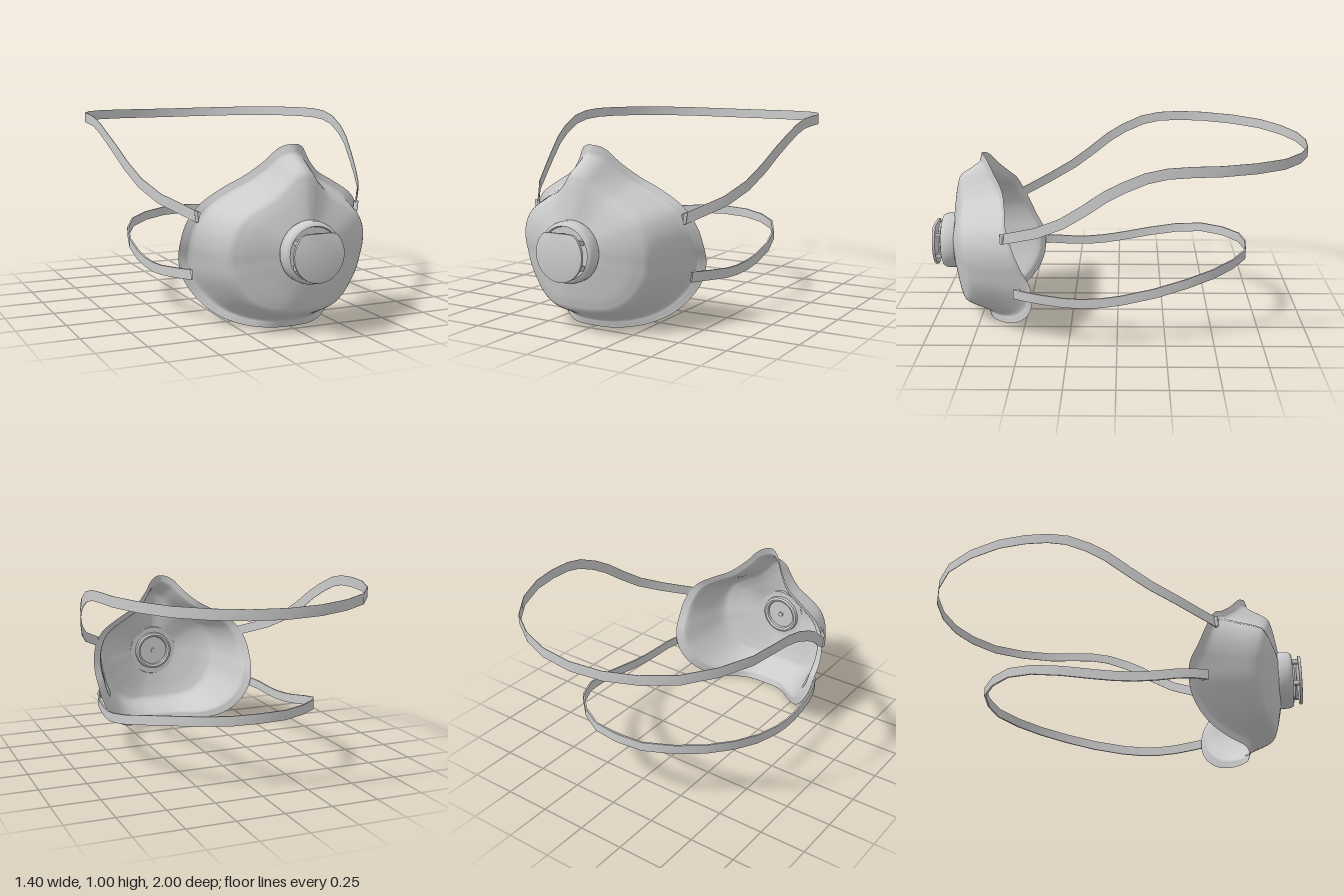
import * as THREE from 'three';
import { toCreasedNormals } from 'three/addons/utils/BufferGeometryUtils.js';
import { RoundedBoxGeometry } from 'three/addons/geometries/RoundedBoxGeometry.js';

const V = (x, y, z) => new THREE.Vector3(x, y, z);
const grey = new THREE.MeshStandardMaterial({ color: 0xcccccc, side: THREE.DoubleSide });

function part(name, geometry) {
  const mesh = new THREE.Mesh(geometry, grey);
  mesh.name = name;
  return mesh;
}

// Skins rows of points; each row closes on itself
function loft(rows) {
  const n = rows[0].length, index = [];
  for (let j = 0; j < rows.length - 1; j++)
    for (let i = 0; i < n; i++) {
      const k = (i + 1) % n, a = j * n + i, b = j * n + k, c = a + n, d = b + n;
      index.push(a, c, b, b, c, d);
    }
  const g = new THREE.BufferGeometry().setFromPoints(rows.flat());
  g.setIndex(index);
  g.computeVertexNormals();
  return g;
}

// Mirrors a half path that ends on x = 0 (and may also start there)
function mirrored(half, closed) {
  const other = half.slice(closed ? 1 : 0, -1).reverse().map(p => V(-p.x, p.y, p.z));
  return [...half, ...other];
}

// Face piece: the rim curve is drawn in towards the valve while rising to the front
function maskShell() {
  const rimHalf = [
    [0, .905, .73], [.06, .888, .70], [.12, .82, .655], [.20, .75, .605], [.31, .69, .58],
    [.42, .615, .565], [.475, .52, .53], [.49, .42, .49], [.482, .33, .445], [.46, .24, .435],
    [.41, .15, .455], [.33, .065, .52], [.23, .02, .61], [.12, .008, .69], [0, .005, .705],
  ].map(p => V(...p));
  const rim = new THREE.CatmullRomCurve3(mirrored(rimHalf, true), true);
  const outline = rim.getPoints(112).slice(0, -1);
  // x: share of the way to the centre, y: share of the rise
  const rise = new THREE.SplineCurve([[0, 0], [.05, .035], [.1, .09], [.16, .32], [.25, .68], [.35, .79],
    [.5, .87], [.7, .95], [.82, .98]].map(p => new THREE.Vector2(...p)));
  const rows = rise.getPoints(40).map(({ x: s, y: g }) =>
    outline.map(p => V(p.x * (1 - s), p.y + (.415 - p.y) * s, p.z + (.9 - p.z) * g)));
  return part('maskShell', loft(rows));
}

// Flat elastic band: an upright thin rectangle swept along the path
function strap(name, half, width, thickness) {
  const path = mirrored(half.map(p => V(...p)), false);
  const rows = path.map((p, i) => {
    const t = path[Math.min(i + 1, path.length - 1)].clone().sub(path[Math.max(i - 1, 0)]).normalize();
    const out = V(-t.z, 0, t.x).normalize();
    const up = V().crossVectors(out, t).normalize();
    if (up.y < 0) up.negate();
    return [[1, 1], [1, -1], [-1, -1], [-1, 1]].map(([a, b]) =>
      p.clone().addScaledVector(out, a * thickness / 2).addScaledVector(up, b * width / 2));
  });
  return part(name, toCreasedNormals(loft(rows), .5));
}

// Exhalation valve, built along +z about its own axis
function valve() {
  const group = new THREE.Group();
  group.name = 'valve';
  const profile = [[0, .876], [.085, .876], [.088, .862], [.1, .856], [.112, .862], [.114, .88],
    [.146, .88], [.15, .89], [.15, .925], [.147, .94], [.139, .952], [.13, .955], [.126, .943], [0, .943]];
  const body = new THREE.LatheGeometry(profile.map(p => new THREE.Vector2(...p)), 48).rotateX(Math.PI / 2);
  group.add(part('valveCollar', toCreasedNormals(body, .7)));

  const seat = new THREE.CylinderGeometry(.1, .1, .01, 40).rotateX(Math.PI / 2);
  const seatMesh = part('valveSeat', seat);
  seatMesh.position.z = .968;
  group.add(seatMesh);

  // Round cover with its top cut flat
  const cut = Math.asin(.095 / .128);
  const shape = new THREE.Shape();
  shape.absarc(0, 0, .128, Math.PI - cut, Math.PI * 2 + cut, false);
  shape.quadraticCurveTo(.075, .1, .05, .1);
  shape.lineTo(-.05, .1);
  shape.quadraticCurveTo(-.075, .1, -.128 * Math.cos(cut), .095);
  const cover = new THREE.ExtrudeGeometry(shape, {
    depth: .009, bevelSize: .003, bevelThickness: .003, bevelSegments: 2, curveSegments: 40,
  });
  const coverMesh = part('valveCover', toCreasedNormals(cover, .6));
  coverMesh.position.z = .988;
  group.add(coverMesh);

  for (const x of [-.095, .095])
    for (const y of [-.06, .06]) {
      const post = part('valvePost', new THREE.BoxGeometry(.022, .022, .05));
      post.position.set(x, y, .965);
      group.add(post);
    }

  // Small hub on the inner face
  const hub = part('valveHub', new THREE.CylinderGeometry(.014, .014, .012, 16).rotateX(Math.PI / 2));
  hub.position.z = .872;
  group.add(hub);
  group.position.y = .413;
  return group;
}

export function createModel() {
  const model = new THREE.Group();
  model.name = 'respiratorMask';
  model.add(maskShell(), valve());

  model.add(strap('upperStrap', [
    [.43, .555, .59], [.49, .59, .50], [.56, .63, .40], [.615, .695, .27], [.65, .77, .16], [.675, .845, .06],
    [.69, .897, -.03], [.698, .945, -.14], [.696, .967, -.24], [.69, .974, -.36], [.67, .973, -.50],
    [.6, .97, -.67], [.49, .965, -.82], [.34, .96, -.92], [.18, .956, -.98], [0, .954, -1],
  ], .053, .003));
  model.add(strap('lowerStrap', [
    [.445, .267, .53], [.478, .264, .46], [.5, .258, .38], [.513, .248, .28], [.522, .245, .18], [.528, .252, .08],
    [.53, .267, -.02], [.52, .302, -.19], [.48, .338, -.35], [.405, .364, -.49], [.29, .377, -.6],
    [.15, .384, -.68], [0, .387, -.7],
  ], .05, .009));

  // Strap loops on the flange
  for (const side of [-1, 1])
    for (const [name, x, y, z] of [['upperClip', .438, .56, .58], ['lowerClip', .448, .266, .505]]) {
      const clip = part(name, new RoundedBoxGeometry(.016, .056, .024, 3, .007));
      clip.position.set(side * x, y, z);
      clip.rotation.set(0, side * .5, side * -.15);
      model.add(clip);
    }
  return model;
}
